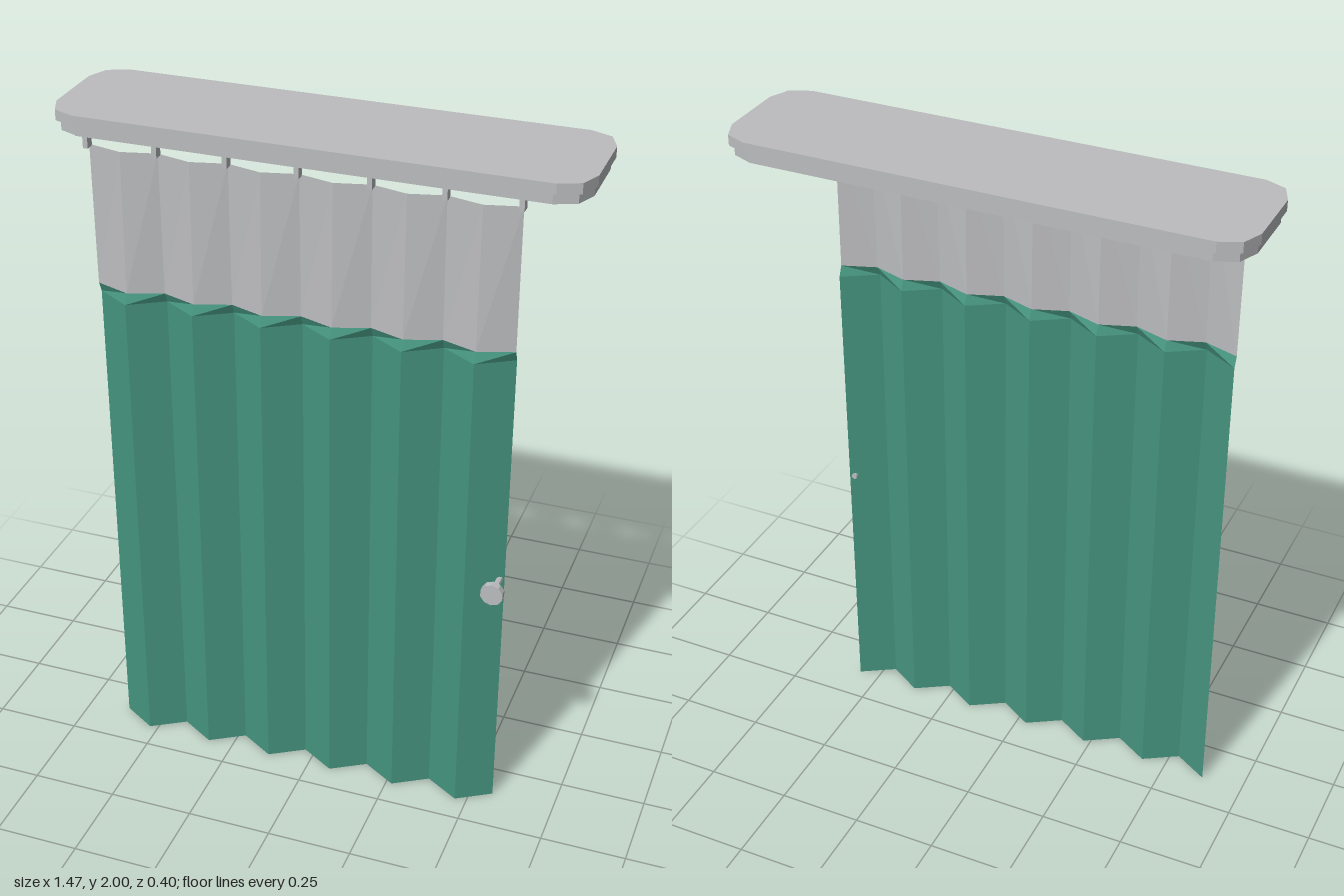
import * as THREE from 'three';

const X0 = -0.625, X1 = 0.565, PANELS = 12;
const step = (X1 - X0) / PANELS;

// Zigzag cloth made of rows [y, zBack, zFront], listed from bottom to top
function pleats(rows) {
  const pos = [];
  const point = (r, i) => [X0 + i * step, r[0], i % 2 ? r[2] : r[1]];
  for (let j = 0; j < rows.length - 1; j++) {
    for (let i = 0; i < PANELS; i++) {
      const a = point(rows[j], i), b = point(rows[j], i + 1);
      const c = point(rows[j + 1], i + 1), d = point(rows[j + 1], i);
      pos.push(...a, ...b, ...c, ...a, ...c, ...d);
    }
  }
  const g = new THREE.BufferGeometry();
  g.setAttribute('position', new THREE.Float32BufferAttribute(pos, 3));
  g.computeVertexNormals();
  return g;
}

// Rectangle with two-step clipped corners, half sizes w and d
function outline(w, d, Type = THREE.Shape) {
  const corner = [[w, d - 0.085], [w - 0.025, d - 0.025], [w - 0.085, d]];
  const flip = (sx, sy, rev) => {
    const p = corner.map(([x, y]) => new THREE.Vector2(x * sx, y * sy));
    return rev ? p.reverse() : p;
  };
  return new Type([...flip(1, 1), ...flip(-1, 1, true), ...flip(-1, -1), ...flip(1, -1, true)]);
}

function slab(shape, y, h) {
  const g = new THREE.ExtrudeGeometry(shape, { depth: h, bevelEnabled: false });
  g.rotateX(-Math.PI / 2);
  g.translate(0, y, -0.0175);
  return g;
}

export function createModel() {
  const model = new THREE.Group();
  model.name = 'curtainCubicle';

  const grey = new THREE.MeshStandardMaterial({ color: 0xbcbdbf });
  grey.name = 'light grey';
  grey.side = THREE.DoubleSide;
  const green = new THREE.MeshStandardMaterial({ color: 0x46957f });
  green.name = 'curtain green';
  green.side = THREE.DoubleSide;

  const add = (name, geometry, material, x = 0, y = 0, z = 0, parent = model) => {
    const m = new THREE.Mesh(geometry, material);
    m.name = name;
    m.position.set(x, y, z);
    parent.add(m);
    return m;
  };

  // Canopy: lid, hollow rim below it and a cross brace
  add('canopyLid', slab(outline(0.737, 0.183), 1.97, 0.03), grey);
  const rim = outline(0.727, 0.173);
  rim.holes.push(outline(0.69, 0.136, THREE.Path));
  add('canopyRim', slab(rim, 1.94, 0.03), grey);
  add('crossBrace', new THREE.BoxGeometry(0.025, 0.025, 0.28), grey, 0.02, 1.957, -0.0175);
  add('curtainRail', new THREE.BoxGeometry(1.24, 0.026, 0.03), grey, -0.03, 1.953, 0.14);

  // Hangers at every second fold
  const hangers = new THREE.Group();
  hangers.name = 'hangers';
  model.add(hangers);
  for (let i = 0; i <= PANELS; i += 2) {
    add('hanger', new THREE.BoxGeometry(0.014, 0.036, 0.026), grey, X0 + i * step, 1.924, 0.137, hangers);
  }

  // Sheer upper band and pleated curtain
  add('sheerBand', pleats([[1.5, 0.123, 0.157], [1.91, 0.126, 0.15]]), grey);
  add('curtain', pleats([[0, 0.11, 0.17], [1.47, 0.11, 0.17], [1.5, 0.123, 0.157]]), green);

  // Pull knob on the free edge
  const knob = new THREE.Group();
  knob.name = 'knob';
  knob.position.set(0.552, 0.78, 0);
  model.add(knob);
  const stem = new THREE.CylinderGeometry(0.009, 0.009, 0.07, 8).rotateX(Math.PI / 2);
  add('knobStem', stem, grey, 0, 0, 0.147, knob);
  const disc = new THREE.CylinderGeometry(0.033, 0.033, 0.02, 10).rotateX(Math.PI / 2);
  add('knobDisc', disc, grey, 0, 0, 0.19, knob);

  model.traverse((o) => {
    if (o.isMesh) o.material.flatShading = true;
  });
  return model;
}
